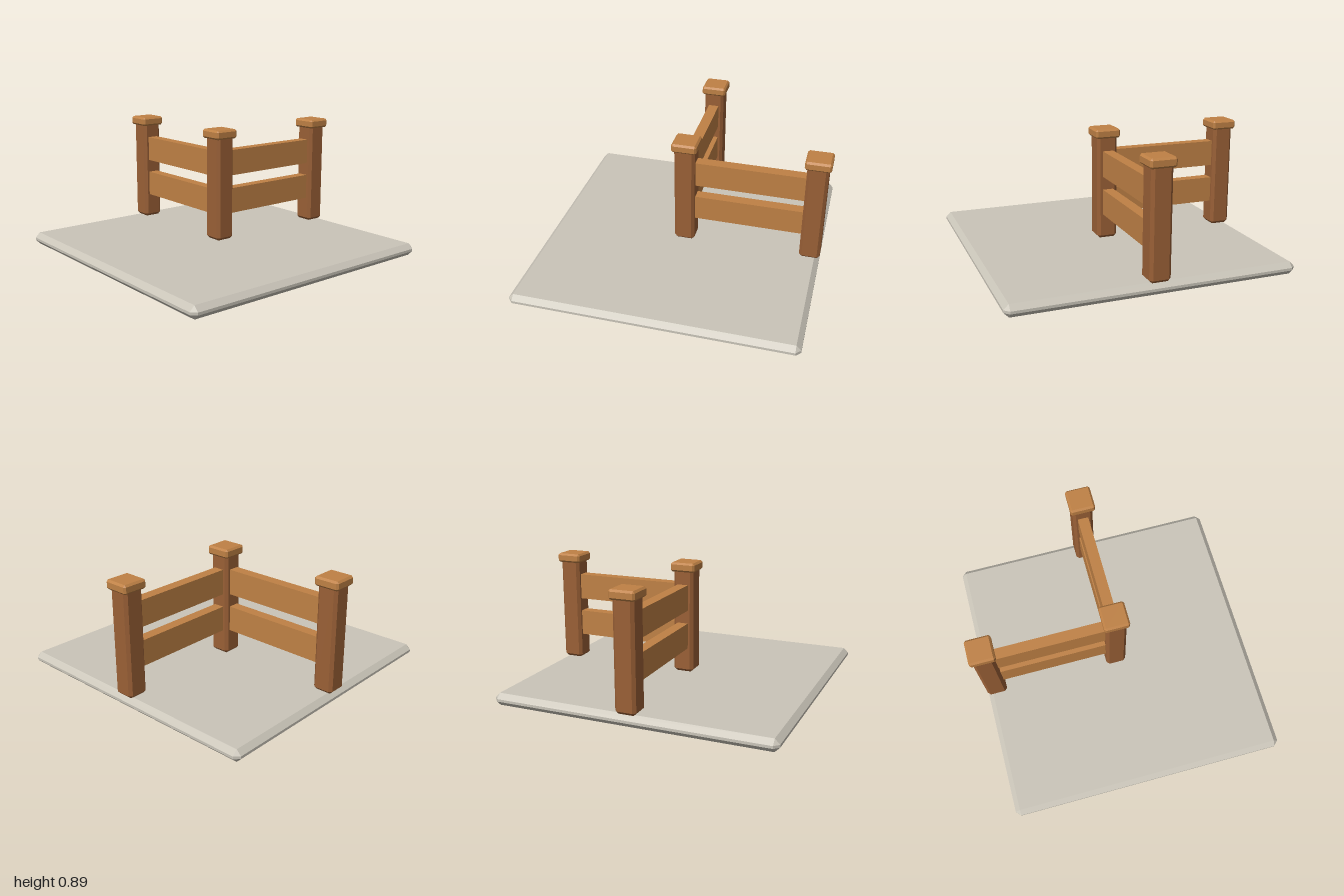
import * as THREE from 'three';
import { ConvexGeometry } from 'three/addons/geometries/ConvexGeometry.js';

// Box with all edges and corners cut flat by c
function chamferBox(w, h, d, c) {
  const points = [];
  for (const x of [-1, 1]) for (const y of [-1, 1]) for (const z of [-1, 1]) {
    for (let axis = 0; axis < 3; axis++) {
      const half = [w / 2 - c, h / 2 - c, d / 2 - c];
      half[axis] += c;
      points.push(new THREE.Vector3(x * half[0], y * half[1], z * half[2]));
    }
  }
  return new ConvexGeometry(points);
}

export function createModel() {
  const model = new THREE.Group();
  model.name = 'cornerFence';

  const material = (name, color) => {
    const m = new THREE.MeshStandardMaterial({ color });
    m.name = name;
    return m;
  };
  const stone = material('paleStone', 0xcac5b9);
  const darkWood = material('darkWood', 0x9a6036);
  const lightWood = material('lightWood', 0xbf8145);

  const add = (parent, name, geometry, mat, x, y, z) => {
    const mesh = new THREE.Mesh(geometry, mat);
    mesh.name = name;
    mesh.position.set(x, y, z);
    parent.add(mesh);
  };

  // Ground slab
  add(model, 'baseSlab', chamferBox(1.98, 0.086, 1.98, 0.034), stone, -0.01, 0.043, 0.01);

  // Posts with caps: corner, side and back
  const postGeometry = chamferBox(0.147, 0.765, 0.147, 0.02);
  const capGeometry = chamferBox(0.18, 0.065, 0.18, 0.013);
  const posts = { cornerPost: [-0.01, 0.01], sidePost: [0.909, 0.01], backPost: [-0.01, -0.909] };
  for (const [name, [x, z]] of Object.entries(posts)) {
    const post = new THREE.Group();
    post.name = name;
    post.position.set(x, 0, z);
    add(post, 'postShaft', postGeometry, darkWood, 0, 0.4685, 0);
    add(post, 'postCap', capGeometry, lightWood, 0, 0.853, 0);
    model.add(post);
  }

  // Two rails along each arm of the corner
  for (const y of [0.358, 0.637]) {
    add(model, 'sideRail', new THREE.BoxGeometry(0.82, 0.184, 0.077), lightWood, 0.4495, y, 0.008);
    add(model, 'backRail', new THREE.BoxGeometry(0.077, 0.184, 0.82), lightWood, -0.01, y, -0.4495);
  }
  return model;
}
